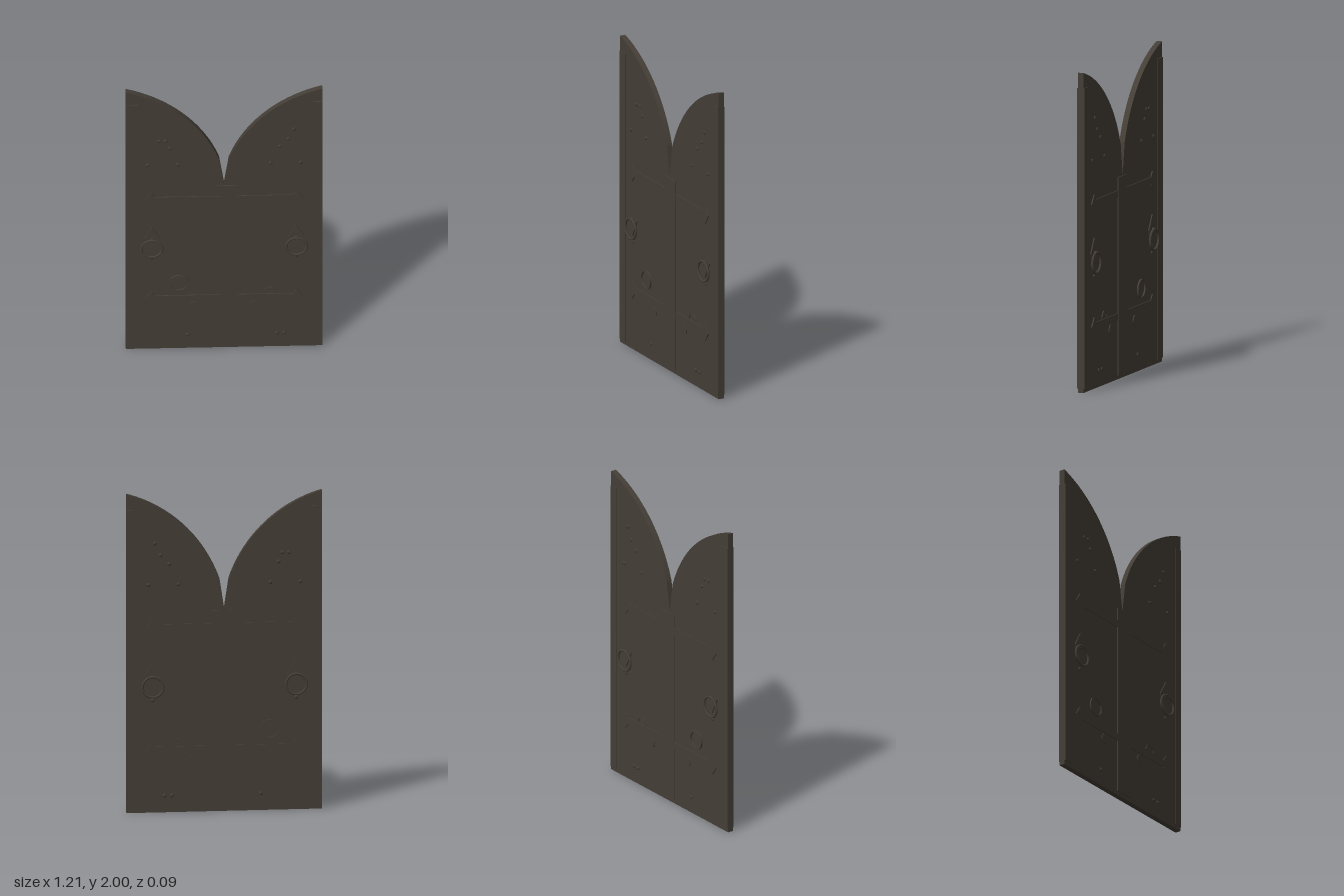
import * as THREE from 'three';

export function createModel() {
  const door = new THREE.Group();
  door.name = 'doubleDoor';
  const wood = new THREE.MeshStandardMaterial({ color: 0x443e36 });
  wood.name = 'dark wood and iron';
  const LEAF = 0.018; // half thickness of a leaf

  const add = (name, geometry, parent, x = 0, y = 0, z = 0) => {
    const mesh = new THREE.Mesh(geometry, wood);
    mesh.name = name;
    mesh.position.set(x, y, z);
    parent.add(mesh);
    return mesh;
  };
  const plate = (points, depth) => new THREE.ExtrudeGeometry(
    new THREE.Shape(points.map(([x, y]) => new THREE.Vector2(x, y))),
    { depth, bevelEnabled: false });
  const bar = (name, x0, x1, y0, y1, half) =>
    add(name, new THREE.BoxGeometry(x1 - x0, y1 - y0, half * 2), door, (x0 + x1) / 2, (y0 + y1) / 2);

  // Two leaves with a concave arched top
  for (const side of [-1, 1]) {
    const outline = [[0, 0], [0.605, 0]];
    const a0 = Math.atan2(0.818, 0.227), a1 = Math.atan2(0.278, 0.802);
    for (let i = 0; i <= 24; i++) {
      const a = a0 + (a1 - a0) * i / 24;
      outline.push([0.832 - 0.849 * Math.cos(a), 1.182 + 0.849 * Math.sin(a)]);
    }
    // the arc is measured from the leaf's outer edge towards the middle
    const arc = outline.slice(2).map(([x, y]) => {
      const dx = 0.832 - x;
      return [0.832 - dx, y];
    });
    const pts = [[0, 0], [0.605, 0], ...arc, [0, 1.265]].map(([x, y]) => [x * side, y]);
    add(side < 0 ? 'rightLeaf' : 'leftLeaf', plate(pts, LEAF * 2), door, 0, 0, -LEAF);
  }

  // Hinge stiles and the overlapping middle strips
  bar('rightStile', -0.605, -0.533, 0.025, 1.903, 0.024);
  bar('leftStile', 0.548, 0.605, 0.025, 1.903, 0.024);
  bar('rightMeetingStrip', -0.055, 0.004, 0.025, 1.262, 0.023);
  bar('leftMeetingStrip', 0.004, 0.082, 0.025, 1.262, 0.025);

  // Ironwork is the same on the front and the back
  for (const face of [1, -1]) {
    const iron = new THREE.Group();
    iron.name = face > 0 ? 'frontIronwork' : 'backIronwork';
    door.add(iron);
    const at = face * LEAF;
    // a plate standing off the leaf on this face
    const flat = (name, points, depth, x, y) =>
      add(name, plate(points, depth), iron, x, y, face > 0 ? at : at - depth);

    // Straps with pointed ends
    for (const y of [1.158, 0.39]) {
      add('strap', new THREE.BoxGeometry(0.86, 0.046, 0.006), iron, 0, y, at + face * 0.003);
      for (const s of [-1, 1]) {
        flat('strapPoint', [[-0.022, -0.028], [0, -0.057], [0.04, 0], [0, 0.057], [-0.022, 0.028]]
          .map(([x, v]) => [x * s, v]), 0.007, s * 0.448, y);
      }
    }

    // Pull rings on kite-shaped plates
    for (const s of [-1, 1]) {
      const x = s * 0.445, y = 0.79;
      flat('pullPlate', [[0, 0.157], [0.055, 0.062], [0, -0.045], [-0.055, 0.062]], 0.007, x, y);
      add('pullRing', new THREE.TorusGeometry(0.064, 0.0075, 8, 32), iron, x, y, face * 0.036);
      const pin = add('pullPin', new THREE.CylinderGeometry(0.014, 0.014, 0.02, 10), iron, x, y + 0.06, face * 0.028);
      pin.rotation.x = Math.PI / 2;
    }

    // Full ring and half ring
    const ring = new THREE.Shape().absarc(0, 0, 0.061, 0, Math.PI * 2);
    ring.holes.push(new THREE.Path().absarc(0, 0, 0.05, 0, Math.PI * 2, true));
    const half = new THREE.Shape().absarc(0, 0, 0.044, 0, Math.PI);
    half.absarc(0, 0, 0.033, Math.PI, 0, true);
    for (const [name, shape, x, y, depth] of [
      ['flatRing', ring, -0.28, 0.508, 0.01], ['halfRing', half, 0.285, 0.42, 0.006]]) {
      add(name, new THREE.ExtrudeGeometry(shape, { depth, bevelEnabled: false, curveSegments: 24 }),
        iron, x, y, face > 0 ? at : at - depth);
    }

    // Low bosses
    for (const s of [-1, 1]) {
      const boss = add('boss', new THREE.CylinderGeometry(0.034, 0.034, 0.008, 7), iron, s * 0.185, 0.328, at + face * 0.002);
      boss.rotation.x = Math.PI / 2;
    }

    // Domed nails
    for (const [x, y] of [[-0.4, 1.615], [-0.36, 1.615], [-0.335, 1.558], [-0.47, 1.43], [-0.285, 1.43],
      [0.43, 1.69], [0.395, 1.615], [0.343, 1.558], [0.285, 1.43], [0.47, 1.43],
      [-0.225, 0.105], [0.325, 0.105], [0.37, 0.105], [-0.445, 0.705], [0.445, 0.705]]) {
      add('nail', new THREE.SphereGeometry(0.0125, 10, 6), iron, x, y, at).scale.z = 0.65;
    }
  }
  return door;
}
